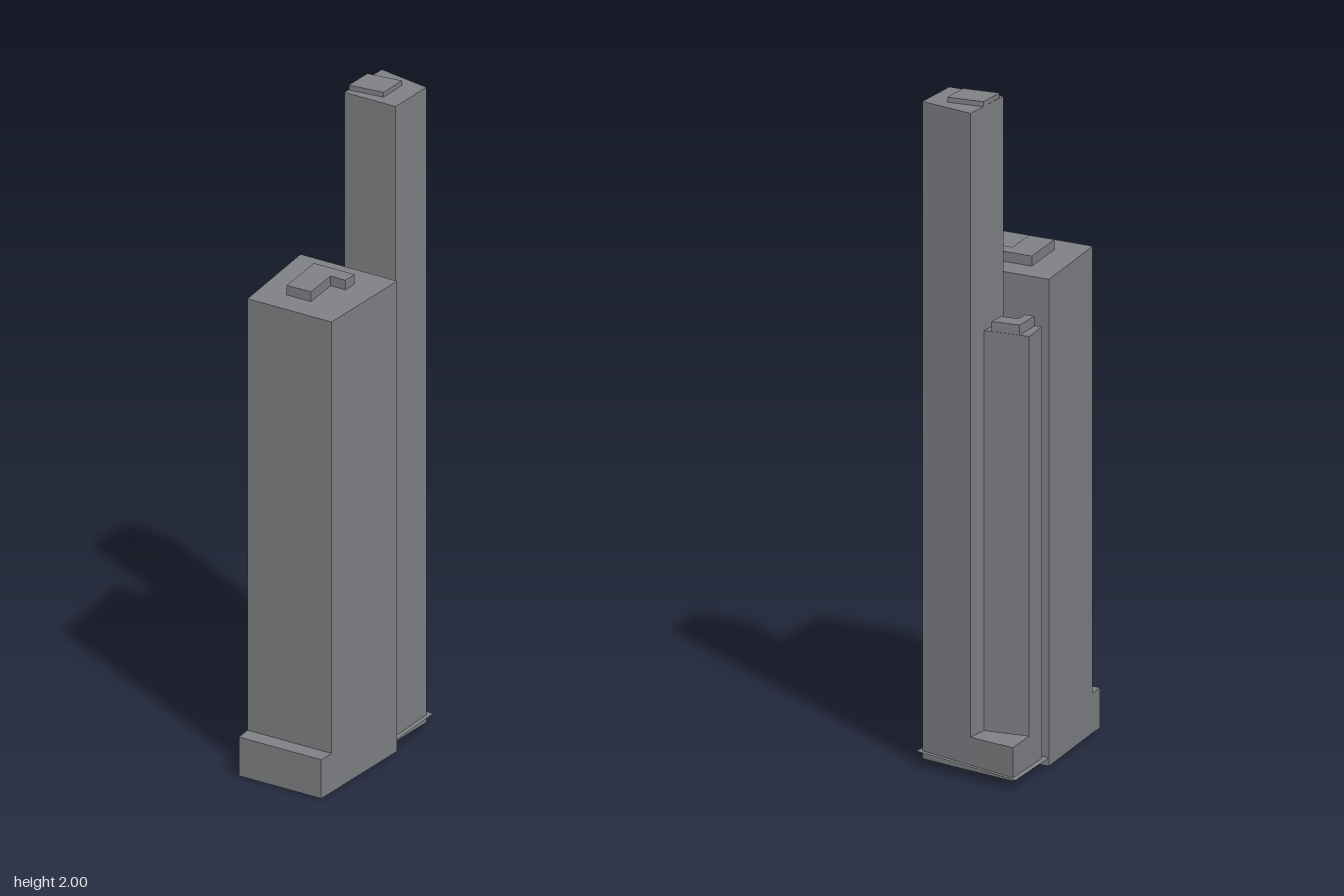
import * as THREE from 'three';

export function createModel() {
  const model = new THREE.Group();
  model.name = 'towerComplex';
  const grey = new THREE.MeshStandardMaterial({ color: 0x808185 });
  grey.name = 'concrete grey';
  const sheetGrey = new THREE.MeshStandardMaterial({ color: 0x808185, side: THREE.DoubleSide });
  sheetGrey.name = 'ground sheet grey';

  // Upright prism over a plan of [x, z] corners
  function prism(name, plan, bottom, top) {
    const shape = new THREE.Shape(plan.map(([x, z]) => new THREE.Vector2(x, -z)));
    const geo = new THREE.ExtrudeGeometry(shape, { depth: top - bottom, bevelEnabled: false });
    geo.rotateX(-Math.PI / 2).translate(0, bottom, 0);
    const mesh = new THREE.Mesh(geo, grey);
    mesh.name = name;
    model.add(mesh);
  }

  // Front tower with its low forward step
  const backLeft = [-0.178, -0.122], backRight = [0.16, -0.028];
  const stepLeft = [-0.188, 0.263], stepRight = [0.106, 0.345];
  prism('frontTower', [backLeft, backRight, stepRight, stepLeft], 0, 1.455);
  prism('frontStep', [stepLeft, stepRight, [0.097, 0.403], [-0.191, 0.323]], 0, 0.12);
  prism('frontRoofHut', [[-0.087, 0.001], [0.055, 0.04], [0.048, 0.094],
    [-0.004, 0.078], [-0.01, 0.216], [-0.094, 0.194]], 1.455, 1.485);

  // Rear group: tall tower, middle tower and the podium behind them
  const ridge = [0, -0.309], inner = [-0.014, -0.226], seam = [-0.033, -0.1];
  const midBack = [-0.157, -0.246];
  prism('tallTower', [ridge, [0.172, -0.225], [0.146, -0.05], seam], 0.02, 1.985);
  prism('tallRoofHut', [[-0.013, -0.228], [0.101, -0.212], [0.087, -0.106],
    [-0.028, -0.122]], 1.985, 2);
  prism('middleTower', [midBack, inner, seam, [-0.161, -0.134]], 0.02, 1.315);
  prism('middleRoofHut', [[-0.127, -0.24], [-0.037, -0.228], [-0.047, -0.166],
    [-0.102, -0.173], [-0.107, -0.127], [-0.138, -0.133]], 1.315, 1.345);
  prism('rearPodium', [[-0.151, -0.381], ridge, inner, midBack], 0.02, 0.12);

  // Slightly tilted ground sheet under the rear group
  const sheet = new THREE.BufferGeometry();
  sheet.setAttribute('position', new THREE.Float32BufferAttribute([
    -0.167, 0.03, -0.405, -0.178, 0.025, -0.122,
    0.16, 0.037, -0.028, 0.188, 0.045, -0.237], 3));
  sheet.setIndex([0, 1, 2, 0, 2, 3]);
  sheet.computeVertexNormals();
  const ground = new THREE.Mesh(sheet, sheetGrey);
  ground.name = 'groundSheet';
  model.add(ground);
  return model;
}
